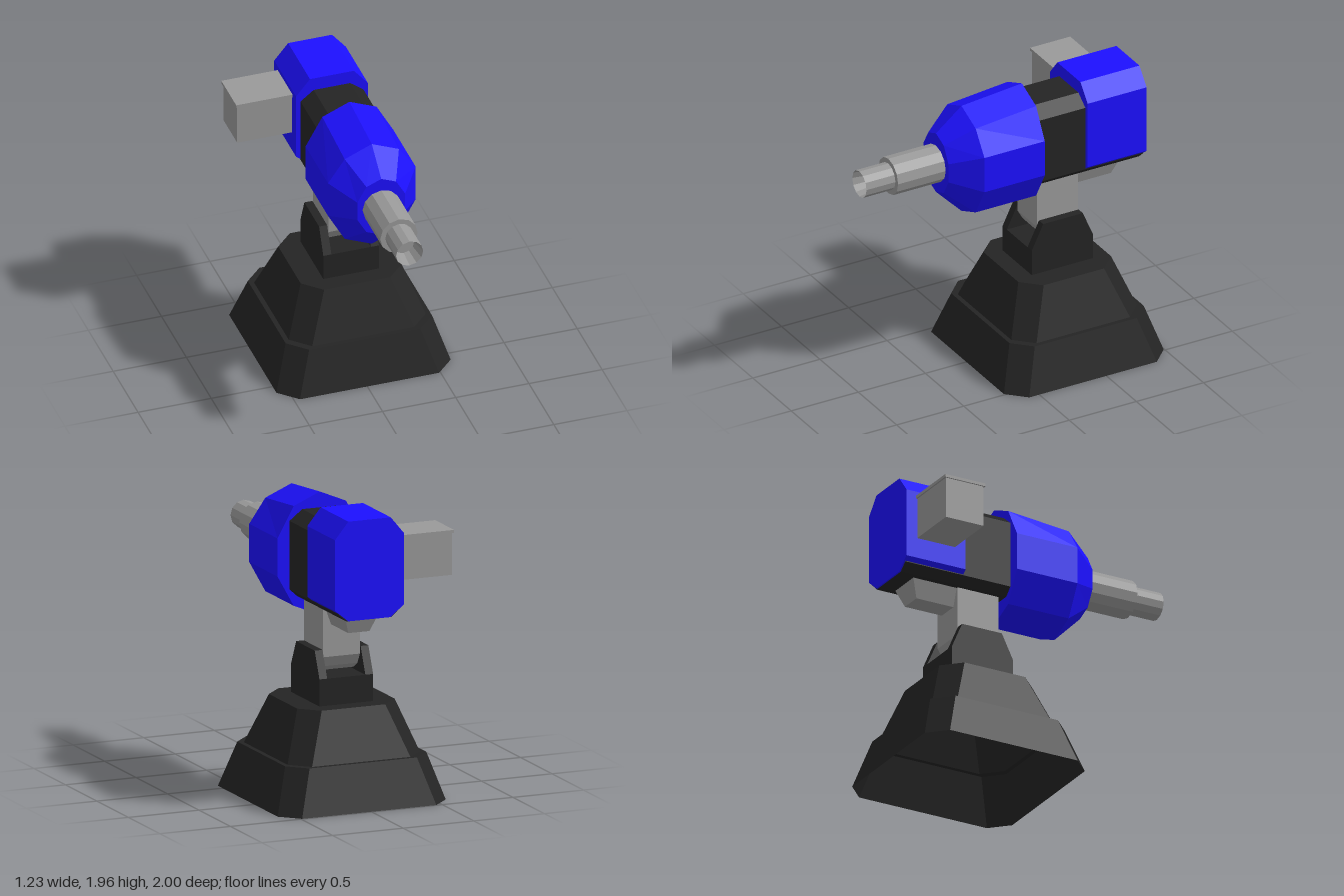
import * as THREE from 'three';

const CX = 0.015; // turret axis in x
const AXIS_Y = 1.55; // barrel height

const mat = (color, side = THREE.FrontSide) =>
  new THREE.MeshStandardMaterial({ color, flatShading: true, side });
const grey = mat(0x999999);
const greyOpen = mat(0x999999, THREE.DoubleSide);
const black = mat(0x242424);
const blackOpen = mat(0x242424, THREE.DoubleSide);
const blue = mat(0x1c10ff);

function add(parent, name, geometry, material, x = 0, y = 0, z = 0) {
  const mesh = new THREE.Mesh(geometry, material);
  mesh.name = name;
  mesh.position.set(x, y, z);
  parent.add(mesh);
  return mesh;
}

// Skin over equal-sized rings of [x, y, z], with optional end caps
function loft(rings, capStart = true, capEnd = true) {
  const n = rings[0].length;
  const index = [];
  for (let i = 0; i < rings.length - 1; i++) {
    for (let j = 0; j < n; j++) {
      const k = (j + 1) % n;
      const a = i * n + j, b = i * n + k, c = b + n, d = a + n;
      index.push(a, b, c, a, c, d);
    }
  }
  const last = (rings.length - 1) * n;
  for (let j = 1; j < n - 1; j++) {
    if (capStart) index.push(0, j + 1, j);
    if (capEnd) index.push(last, last + j, last + j + 1);
  }
  const g = new THREE.BufferGeometry();
  g.setAttribute('position', new THREE.Float32BufferAttribute(rings.flat(2), 3));
  g.setIndex(index);
  const flat = g.toNonIndexed();
  flat.computeVertexNormals();
  return flat;
}

// Square with cut corners, lying flat at height y
function baseRing(y, half, cut = 0.12) {
  const s = half - cut;
  return [[half, s], [s, half], [-s, half], [-half, s], [-half, -s], [-s, -half], [s, -half], [half, -s]]
    .map(([u, v]) => [u, y, -v]);
}

// Upright octagon: w = half width, wt / wb = half width of top / bottom edge
function housingRing(z, w, wt, wb, y0, y1, y2, y3) {
  return [[wb, y0], [w, y1], [w, y2], [wt, y3], [-wt, y3], [-w, y2], [-w, y1], [-wb, y0]]
    .map(([x, y]) => [x, y, z]);
}

// Stretched ten-sided ring with a lowered crown
function cowlRing(z, rx, ry, drop) {
  return Array.from({ length: 10 }, (_, i) => {
    const a = Math.PI / 2 + (i * Math.PI) / 5;
    const s = Math.sin(a);
    return [rx * Math.cos(a), ry * s - (s > 0.5 ? drop : 0), z];
  });
}

// Side profile of [z, y] points given a width in x, centred on x = 0
function sidePlate(points, width) {
  const shape = new THREE.Shape(points.map(([z, y]) => new THREE.Vector2(z, y)));
  const g = new THREE.ExtrudeGeometry(shape, { depth: width, bevelEnabled: false });
  g.translate(0, 0, -width / 2);
  g.rotateY(-Math.PI / 2);
  return g;
}

export function createModel() {
  const model = new THREE.Group();
  model.name = 'turret';

  // Hollow two-tier pedestal
  add(model, 'pedestal', loft([
    baseRing(0, 0.595), baseRing(0.305, 0.5), baseRing(0.305, 0.468), baseRing(0.64, 0.345),
  ], false, true), blackOpen, CX, 0, -0.4);

  // Yoke: a block with two tapered cheeks
  const yoke = new THREE.Group();
  yoke.name = 'yoke';
  yoke.position.x = CX;
  model.add(yoke);
  add(yoke, 'yokeBlock', sidePlate([[-0.63, 0.64], [-0.175, 0.64], [-0.175, 0.82], [-0.63, 0.82]], 0.38), black);
  for (const side of [-1, 1]) {
    add(yoke, side > 0 ? 'leftCheek' : 'rightCheek',
      sidePlate([[-0.63, 0.82], [-0.175, 0.82], [-0.26, 0.995], [-0.555, 0.995]], 0.055),
      black, side * 0.1625);
  }

  // Neck with a rounded foot
  add(model, 'neck', sidePlate([
    [-0.555, 1.3], [-0.555, 0.945], [-0.515, 0.875], [-0.45, 0.835],
    [-0.36, 0.835], [-0.29, 0.875], [-0.25, 0.945], [-0.25, 1.3],
  ], 0.26), grey, CX);

  // Tapered block under the housing
  const block = (y, w, zBack) => [[w, y, -0.54], [w, y, zBack], [-w, y, zBack], [-w, y, -0.54]];
  add(model, 'underBlock', loft([block(1.16, 0.075, -0.83), block(1.3, 0.125, -0.885)]), grey, CX);

  // Inner housing and rear cover
  add(model, 'housing', loft([-0.99, -0.2].map(
    (z) => housingRing(z, 0.215, 0.125, 0.16, 1.28, 1.33, 1.785, 1.855))), black, CX);
  add(model, 'rearCover', loft([-1, -0.56].map(
    (z) => housingRing(z, 0.245, 0.15, 0.15, 1.282, 1.36, 1.83, 1.945))), blue, CX);

  // Front cowl
  add(model, 'frontCowl', loft([
    cowlRing(-0.21, 0.315, 0.41, 0), cowlRing(0.24, 0.315, 0.41, 0.042), cowlRing(0.43, 0.172, 0.217, 0),
  ]), blue, CX, AXIS_Y);

  // Barrel: stepped tube with a tapered bore
  const barrel = new THREE.LatheGeometry(
    [[0.128, 0.4], [0.128, 0.785], [0.093, 0.785], [0.093, 1], [0.072, 0.88], [0, 0.88]]
      .map(([r, l]) => new THREE.Vector2(r, l)), 12);
  barrel.rotateX(Math.PI / 2);
  add(model, 'barrel', barrel, greyOpen, CX, AXIS_Y);

  // Ammunition box on the right side, with its lid
  add(model, 'sideBox', new THREE.BoxGeometry(0.405, 0.285, 0.28), grey, -0.4025, 1.6425, -0.78);
  add(model, 'sideBoxLid', new THREE.BoxGeometry(0.415, 0.02, 0.3), grey, -0.4075, 1.79, -0.78);

  return model;
}
